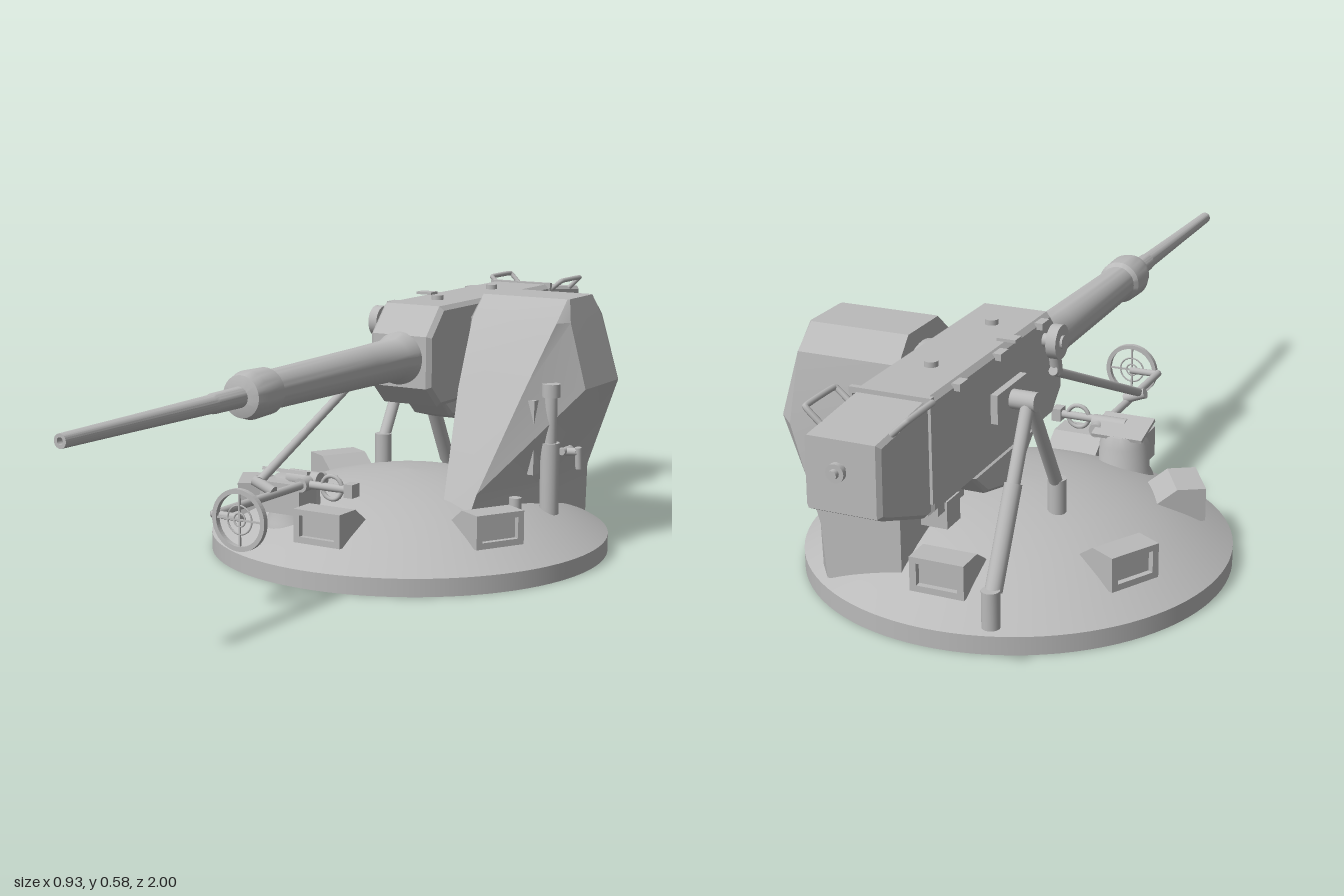
import * as THREE from 'three';
import { toCreasedNormals, mergeVertices } from 'three/addons/utils/BufferGeometryUtils.js';

export function createModel() {
  const model = new THREE.Group();
  const grey = new THREE.MeshStandardMaterial({ color: 0xbababa });
  grey.name = 'grey metal';
  const V = (x, y, z) => new THREE.Vector3(x, y, z);

  function add(name, geo, pos = [0, 0, 0], rot = [0, 0, 0], parent = model) {
    const m = new THREE.Mesh(geo, grey);
    m.name = name;
    m.position.set(...pos);
    m.rotation.set(...rot);
    parent.add(m);
    return m;
  }
  const box = (name, size, pos, rot, parent) => add(name, new THREE.BoxGeometry(...size), pos, rot, parent);
  // Cylinder running between two points
  function rod(name, a, b, r, r2 = r, sides = 20) {
    const p = V(...a), q = V(...b), d = q.clone().sub(p);
    const m = add(name, new THREE.CylinderGeometry(r2, r, d.length(), sides));
    m.position.copy(p).add(q).multiplyScalar(0.5);
    m.quaternion.setFromUnitVectors(V(0, 1, 0), d.normalize());
    return m;
  }
  function tube(name, pts, r, parent = model) {
    const curve = new THREE.CatmullRomCurve3(pts.map(p => V(...p)), false, 'catmullrom', 0.1);
    return add(name, new THREE.TubeGeometry(curve, 40, r, 8), [0, 0, 0], [0, 0, 0], parent);
  }
  const lathe = (pts, n = 40) => toCreasedNormals(
    new THREE.LatheGeometry(pts.map(p => new THREE.Vector2(...p)), n), 0.5);
  // Side profile of (z, y) points extruded across x, centred on x = 0
  function sideExtrude(pts, width, bevel) {
    const shape = new THREE.Shape(pts.map(p => new THREE.Vector2(...p)));
    const g = new THREE.ExtrudeGeometry(shape, {
      depth: width - 2 * bevel, bevelEnabled: bevel > 0, bevelSize: bevel,
      bevelThickness: bevel, bevelOffset: -bevel, bevelSegments: 1 });
    g.translate(0, 0, -(width / 2 - bevel));
    return g.rotateY(-Math.PI / 2);
  }
  // Skin horizontal rings of [x, z] points, listed from the lowest upward
  function loft(levels, crease = 0.35) {
    const out = [], P = (l, i) => {
      const [y, ring] = levels[l], p = ring[i % ring.length];
      return [p[0], y, p[1]];
    };
    const n = levels[0][1].length, last = levels.length - 1;
    for (let l = 0; l < last; l++) for (let i = 0; i < n; i++) {
      out.push(...P(l, i), ...P(l, i + 1), ...P(l + 1, i + 1));
      out.push(...P(l, i), ...P(l + 1, i + 1), ...P(l + 1, i));
    }
    for (let i = 1; i < n - 1; i++) {
      out.push(...P(last, 0), ...P(last, i), ...P(last, i + 1));
      out.push(...P(0, 0), ...P(0, i + 1), ...P(0, i));
    }
    const g = new THREE.BufferGeometry();
    g.setAttribute('position', new THREE.Float32BufferAttribute(out, 3));
    return toCreasedNormals(mergeVertices(g), crease);
  }

  // Round base with a shallow dome
  const cz = -0.215;
  add('baseRim', new THREE.CylinderGeometry(0.463, 0.463, 0.04, 96), [0, 0.02, cz]);
  add('baseDome', new THREE.LatheGeometry([[0.463, 0.04], [0.42, 0.065], [0.36, 0.097], [0.3, 0.124],
    [0.23, 0.148], [0.15, 0.167], [0.07, 0.177], [0.0001, 0.18]].map(p => new THREE.Vector2(...p)), 96), [0, 0, cz]);

  // Vision blocks around the dome, one place taken by the side housing
  const frame = new THREE.Shape([[-0.06, 0], [0.06, 0], [0.06, 0.075], [-0.06, 0.075]].map(p => new THREE.Vector2(...p)));
  frame.holes.push(new THREE.Path([[-0.045, 0.014], [-0.045, 0.062], [0.045, 0.062], [0.045, 0.014]].map(p => new THREE.Vector2(...p))));
  const frameGeo = new THREE.ExtrudeGeometry(frame, { depth: 0.014, bevelEnabled: false });
  const blockGeo = sideExtrude([[0.26, 0.08], [0.385, 0.06], [0.385, 0.155], [0.335, 0.155], [0.285, 0.12]], 0.12, 0);
  for (const k of [0, 1, 3, 4, 5]) {
    const g = new THREE.Group();
    g.name = 'visionBlock';
    g.position.z = cz;
    g.rotation.y = k * Math.PI / 3;
    add('blockBody', blockGeo, [0, 0, 0], [0, 0, 0], g);
    add('blockFrame', frameGeo, [0, 0.08, 0.384], [0, 0, 0], g);
    model.add(g);
  }

  // Faceted housing beside the gun
  add('sideHousing', loft([
    [0.05, [[0.10, -0.57], [0.10, -0.30], [0.18, -0.03], [0.23, -0.03], [0.305, -0.29], [0.305, -0.53], [0.27, -0.575]]],
    [0.17, [[0.10, -0.57], [0.10, -0.30], [0.165, -0.09], [0.245, -0.09], [0.308, -0.30], [0.308, -0.53], [0.28, -0.575]]],
    [0.38, [[0.10, -0.57], [0.10, -0.30], [0.12, -0.228], [0.285, -0.228], [0.38, -0.355], [0.38, -0.535], [0.34, -0.575]]],
    [0.53, [[0.10, -0.555], [0.10, -0.322], [0.102, -0.325], [0.318, -0.325], [0.337, -0.36], [0.337, -0.525], [0.325, -0.555]]],
    [0.58, [[0.10, -0.51], [0.10, -0.382], [0.102, -0.38], [0.318, -0.38], [0.322, -0.385], [0.322, -0.505], [0.318, -0.51]]]
  ]));
  rod('trunnion', [0.06, 0.45, -0.45], [0.12, 0.45, -0.45], 0.1, 0.1, 40);
  box('trunnionBracket', [0.06, 0.13, 0.12], [0.075, 0.265, -0.45]);
  box('bracketFoot', [0.06, 0.06, 0.06], [0.07, 0.19, -0.45]);

  // Receiver with a tapered rear
  add('receiver', sideExtrude([[-0.165, 0.38], [-0.165, 0.5], [-0.225, 0.564], [-0.775, 0.564],
    [-0.775, 0.333], [-0.215, 0.333]].reverse(), 0.16, 0.01));
  add('receiverRear', sideExtrude([[-0.765, 0.335], [-0.765, 0.56], [-0.96, 0.543], [-0.963, 0.405],
    [-0.945, 0.395], [-0.79, 0.335]].reverse(), 0.152, 0.008));
  box('receiverBand', [0.168, 0.012, 0.012], [0, 0.562, -0.772]);
  for (const s of [-1, 1]) {
    box('bandSide', [0.006, 0.2, 0.012], [s * 0.08, 0.46, -0.772]);
    tube('rearHandle', [[s * 0.07, 0.548, -0.80], [s * 0.1, 0.572, -0.80], [s * 0.1, 0.572, -0.905], [s * 0.07, 0.543, -0.905]], 0.006);
  }
  for (const z of [-0.61, -0.34]) rod('topCap', [0, 0.555, z], [0, 0.575, z], 0.014);
  for (const z of [-0.28, -0.48, -0.66]) box('lidHinge', [0.018, 0.014, 0.035], [-0.084, 0.555, z]);
  box('lidTab', [0.04, 0.006, 0.03], [-0.075, 0.568, -0.42]);
  rod('rearKnobStem', [0, 0.49, -0.95], [0, 0.49, -0.995], 0.009);
  rod('rearKnob', [0, 0.49, -0.975], [0, 0.49, -0.985], 0.018);
  rod('cockingPivot', [0.07, 0.52, -0.76], [0.1, 0.52, -0.76], 0.012);
  rod('cockingLever', [0.092, 0.525, -0.74], [0.092, 0.508, -0.785], 0.006);
  box('lowerLatch', [0.09, 0.025, 0.03], [0, 0.323, -0.66], [0.4, 0, 0]);
  add('cradle', sideExtrude([[-0.3, 0.34], [-0.36, 0.285], [-0.45, 0.262], [-0.54, 0.285], [-0.6, 0.34]], 0.11, 0.008), [-0.025, 0, 0]);

  // Barrel with its jacket and collar
  add('barrelJacket', lathe([[0.0001, -0.2], [0.06, -0.2], [0.06, -0.155], [0.049, -0.13], [0.046, 0.0],
    [0.041, 0.36], [0.049, 0.37], [0.051, 0.43], [0.044, 0.455], [0.022, 0.462], [0.0001, 0.462]]),
    [0, 0.447, 0], [Math.PI / 2, 0, 0]);
  add('barrel', lathe([[0.0001, 0.44], [0.022, 0.44], [0.021, 0.55], [0.019, 0.56], [0.016, 0.8], [0.014, 1.0],
    [0.007, 1.0], [0.007, 0.95], [0.0001, 0.95]], 24), [0, 0.447, 0], [Math.PI / 2, 0, 0]);

  // Two-legged support on the right of the receiver
  rod('rearLeg', [-0.13, 0.46, -0.45], [-0.13, 0.11, -0.63], 0.014);
  rod('rearLegSleeve', [-0.13, 0.31, -0.527], [-0.13, 0.12, -0.625], 0.018);
  rod('rearFoot', [-0.13, 0.05, -0.638], [-0.13, 0.13, -0.638], 0.019);
  rod('frontLeg', [-0.13, 0.46, -0.45], [-0.13, 0.22, -0.31], 0.014);
  rod('frontFoot', [-0.13, 0.13, -0.31], [-0.13, 0.235, -0.31], 0.02);
  rod('legPivot', [-0.148, 0.455, -0.45], [-0.07, 0.455, -0.45], 0.02);
  box('legMount', [0.02, 0.06, 0.14], [-0.085, 0.455, -0.45]);

  // Sight linkage from the receiver down to the pedestal
  rod('linkDisc', [-0.12, 0.515, -0.26], [-0.098, 0.515, -0.26], 0.036, 0.036, 32);
  rod('linkHub', [-0.125, 0.515, -0.26], [-0.07, 0.515, -0.26], 0.014);
  rod('linkDrop', [-0.1, 0.515, -0.26], [-0.1, 0.44, -0.24], 0.013);
  rod('linkRod', [-0.1, 0.45, -0.26], [-0.1, 0.225, 0.25], 0.01);
  rod('linkEnd', [-0.115, 0.225, 0.25], [-0.065, 0.205, 0.25], 0.012);

  // Sight pedestal
  add('pedestal', lathe([[0.072, 0.07], [0.066, 0.1], [0.058, 0.115], [0.056, 0.175], [0.045, 0.2],
    [0.0001, 0.208]], 32), [-0.135, 0, 0.065]);
  box('pedestalHood', [0.105, 0.07, 0.07], [-0.13, 0.16, 0.1]);
  box('pedestalPlate', [0.12, 0.008, 0.09], [-0.13, 0.208, 0.07], [-0.25, 0, 0]);
  rod('pedestalPivot', [-0.13, 0.2, 0.09], [-0.05, 0.2, 0.09], 0.02);
  rod('sightArm', [-0.07, 0.197, 0.05], [-0.07, 0.197, 0.46], 0.009);
  rod('armSleeve', [-0.07, 0.197, 0.05], [-0.07, 0.197, 0.14], 0.016);
  rod('sightCrossArm', [-0.075, 0.197, 0.455], [0, 0.197, 0.455], 0.008);
  rod('eyepieceArm', [-0.07, 0.197, 0.12], [0.06, 0.197, 0.12], 0.009);
  add('rearRing', new THREE.TorusGeometry(0.026, 0.005, 8, 32), [0, 0.197, 0.12]);
  box('eyepiece', [0.022, 0.03, 0.03], [0.05, 0.197, 0.12]);

  // Ring sight
  const ring = new THREE.Group();
  ring.name = 'ringSight';
  ring.position.set(0, 0.195, 0.465);
  model.add(ring);
  const bandShape = new THREE.Shape().absarc(0, 0, 0.065, 0, Math.PI * 2, false);
  bandShape.holes.push(new THREE.Path().absarc(0, 0, 0.055, 0, Math.PI * 2, true));
  add('outerRing', new THREE.ExtrudeGeometry(bandShape, { depth: 0.012, bevelEnabled: false, curveSegments: 32 }), [0, 0, -0.006], [0, 0, 0], ring);
  for (const r of [0.014, 0.03]) add('innerRing', new THREE.TorusGeometry(r, 0.002, 6, 32), [0, 0, 0], [0, 0, 0], ring);
  for (const a of [0, Math.PI / 2]) box('crossWire', [0.12, 0.004, 0.004], [0, 0, 0], [0, 0, a], ring);

  // Crank post outside the housing
  rod('postLower', [0.33, 0.1, -0.28], [0.33, 0.265, -0.28], 0.022);
  rod('postUpper', [0.33, 0.26, -0.28], [0.33, 0.38, -0.28], 0.015);
  rod('postHead', [0.33, 0.37, -0.28], [0.33, 0.4, -0.28], 0.021);
  box('postRail', [0.018, 0.17, 0.03], [0.302, 0.28, -0.25]);
  rod('crankShaft', [0.31, 0.235, -0.33], [0.375, 0.24, -0.33], 0.009);
  rod('crankHandle', [0.377, 0.25, -0.33], [0.377, 0.2, -0.335], 0.008);
  rod('crankGrip', [0.345, 0.24, -0.31], [0.345, 0.24, -0.355], 0.008);
  rod('domeBolt', [0.29, 0.11, -0.19], [0.29, 0.15, -0.19], 0.014);
  return model;
}
